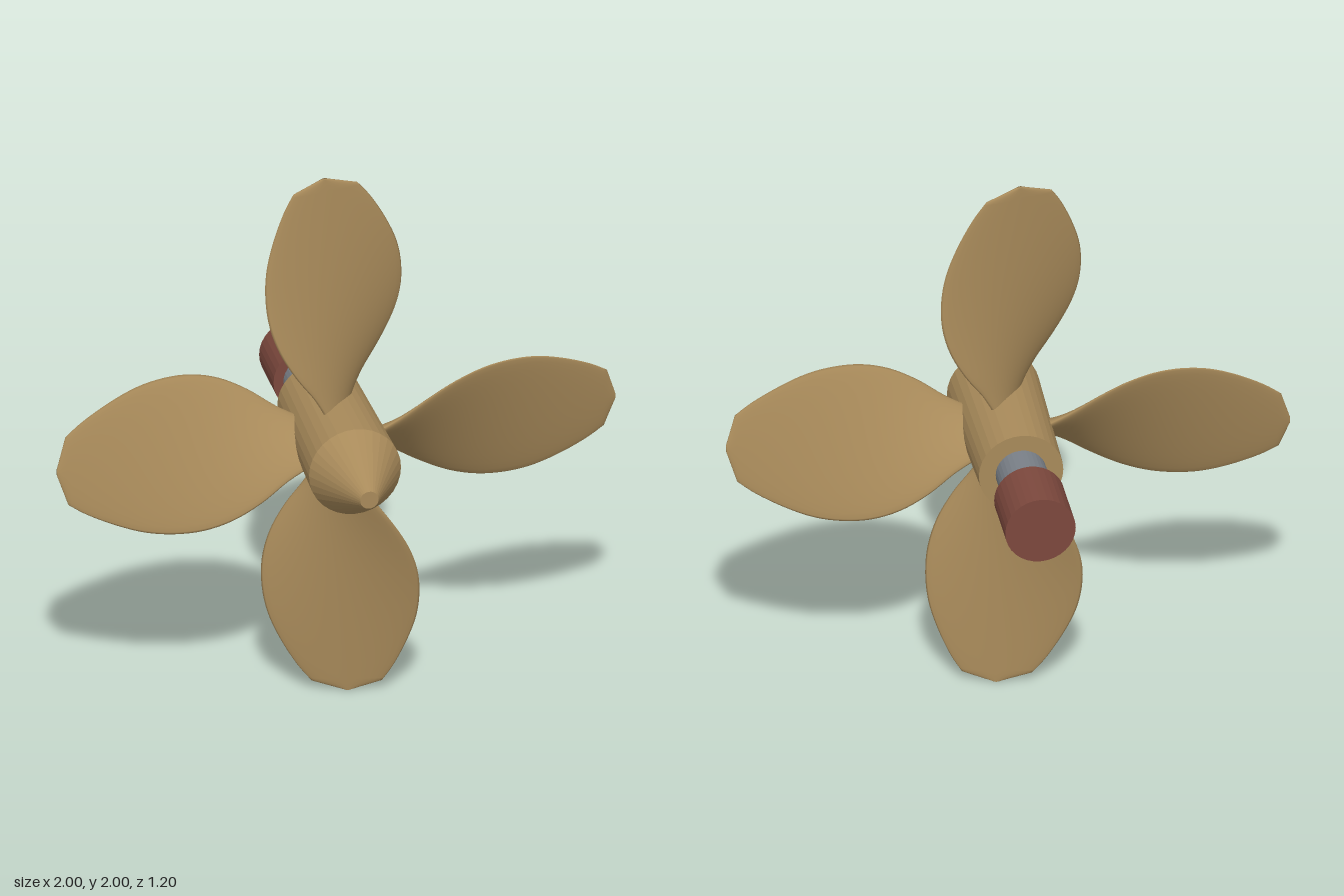
import * as THREE from 'three';

const bronze = new THREE.MeshStandardMaterial({ color: 0xa88a5a });
const bronzeFacet = new THREE.MeshStandardMaterial({ color: 0xa88a5a, flatShading: true });
const steel = new THREE.MeshStandardMaterial({ color: 0x7a8088, flatShading: true });
const red = new THREE.MeshStandardMaterial({ color: 0x7c483d, flatShading: true });

function add(parent, name, geometry, material) {
  const mesh = new THREE.Mesh(geometry, material);
  mesh.name = name;
  parent.add(mesh);
  return mesh;
}

// Solid turned around the z axis from [radius, z] pairs, back to front
function turned(profile) {
  const points = profile.map(([r, z]) => new THREE.Vector2(r, z));
  return new THREE.LatheGeometry(points, 32).rotateX(Math.PI / 2);
}

// Blade along +y: lens sections that twist like a screw of constant pitch
function bladeGeometry() {
  const outline = new THREE.SplineCurve([
    [0.1, 0.045], [0.2, 0.1], [0.3, 0.17], [0.4, 0.225], [0.5, 0.256], [0.6, 0.263],
    [0.7, 0.25], [0.8, 0.215], [0.9, 0.165], [0.965, 0.12],
  ].map(([r, w]) => new THREE.Vector2(r, w)));
  const rows = outline.getPoints(36);
  rows.push(new THREE.Vector2(1, 0.012)); // blunt pointed tip

  const sides = 28;
  const positions = [];
  const index = [];
  rows.forEach(({ x: r, y: halfWidth }, i) => {
    const angle = Math.atan(0.2 / r);
    const cos = Math.cos(angle), sin = Math.sin(angle);
    const chord = halfWidth / cos;
    const thick = 0.028 - 0.02 * r;
    const cx = -0.042 * r ** 2.3;
    const cz = 0.105 - 0.037 * r;
    for (let j = 0; j < sides; j++) {
      const t = (j / sides) * Math.PI * 2;
      const u = chord * Math.cos(t);
      const v = thick * Math.sin(t);
      positions.push(cx - u * cos + v * sin, r, cz + u * sin + v * cos);
      if (i < rows.length - 1) {
        const a = i * sides + j, b = i * sides + (j + 1) % sides;
        index.push(a, b, a + sides, b, b + sides, a + sides);
      }
    }
  });
  // close the tip
  const last = (rows.length - 1) * sides;
  for (let j = 1; j < sides - 1; j++) index.push(last, last + j, last + j + 1);

  const geometry = new THREE.BufferGeometry();
  geometry.setAttribute('position', new THREE.Float32BufferAttribute(positions, 3));
  geometry.setIndex(index);
  geometry.computeVertexNormals();
  return geometry;
}

export function createModel() {
  const model = new THREE.Group();
  model.name = 'propeller';
  const rotor = new THREE.Group();
  rotor.name = 'rotor';
  rotor.position.y = 1;
  model.add(rotor);

  // Hub with its nose cone
  add(rotor, 'hub', turned([[0, -0.2], [0.15, -0.2], [0.165, 0.37]]), bronzeFacet);
  add(rotor, 'noseCone', turned([[0.165, 0.37], [0.033, 0.6], [0, 0.6]]), bronzeFacet);

  // Drive shaft and end coupling
  add(rotor, 'shaft', turned([[0, -0.59], [0.09, -0.59], [0.09, -0.15], [0, -0.15]]), steel);
  add(rotor, 'coupling', turned([[0, -0.6], [0.125, -0.6], [0.125, -0.37], [0, -0.37]]), red);

  // Four blades
  const blade = bladeGeometry();
  for (let k = 0; k < 4; k++) {
    add(rotor, `blade${k + 1}`, blade, bronze).rotation.z = (k * Math.PI) / 2;
  }
  return model;
}
